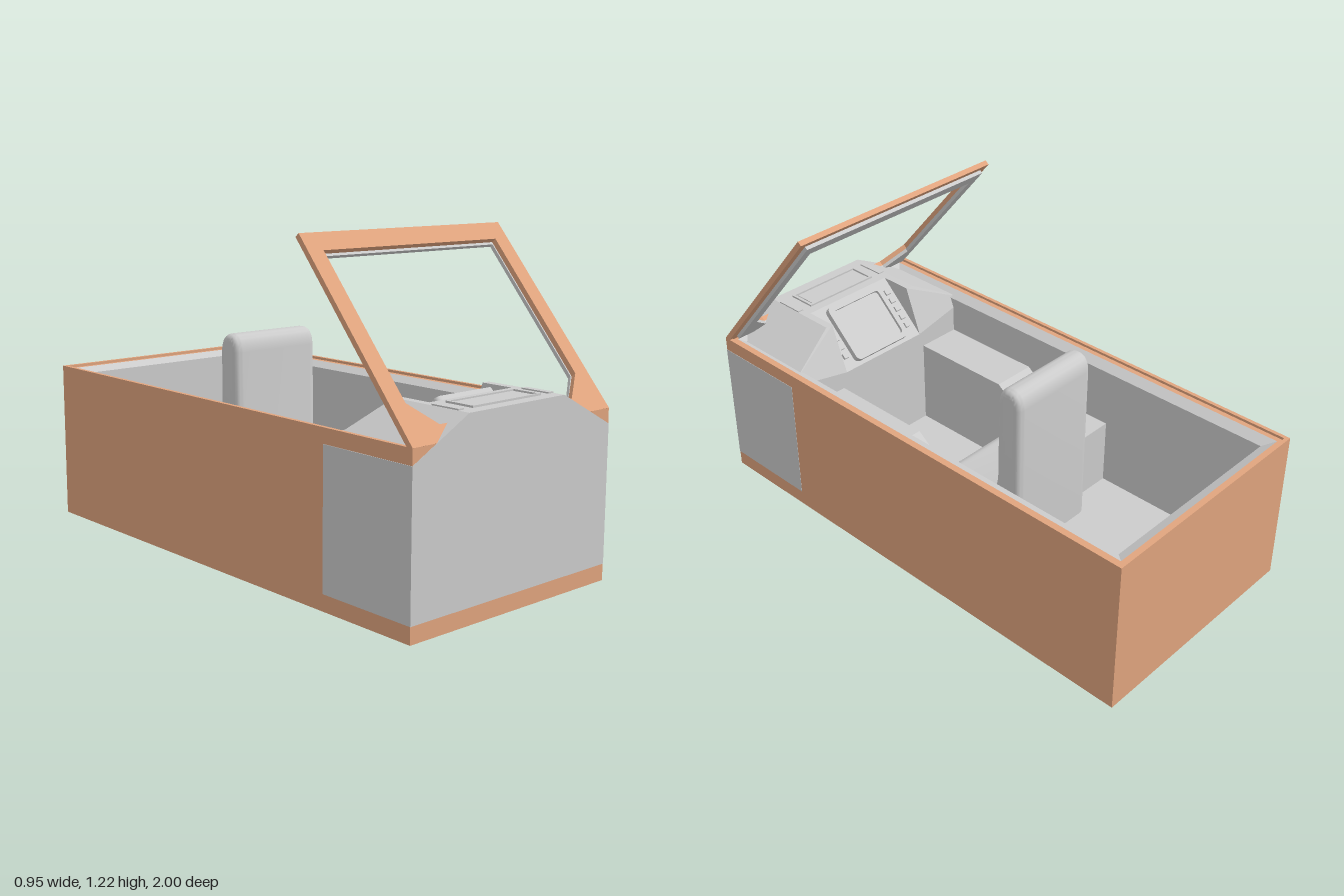
import * as THREE from 'three';
import { toCreasedNormals } from 'three/addons/utils/BufferGeometryUtils.js';
import { ConvexGeometry } from 'three/addons/geometries/ConvexGeometry.js';

const grey = new THREE.MeshStandardMaterial({ color: 0xcccccc });
const greyDouble = new THREE.MeshStandardMaterial({ color: 0xcccccc, side: THREE.DoubleSide, flatShading: true });
const orange = new THREE.MeshStandardMaterial({ color: 0xe0a47e });

const poly = (pts) => new THREE.Shape(pts.map(([x, y]) => new THREE.Vector2(x, y)));
const rect = (hx, hy) => poly([[-hx, -hy], [hx, -hy], [hx, hy], [-hx, hy]]);

function add(parent, name, geometry, material = grey, x = 0, y = 0, z = 0) {
  const mesh = new THREE.Mesh(geometry, material);
  mesh.name = name;
  mesh.position.set(x, y, z);
  parent.add(mesh);
  return mesh;
}

const extrude = (shape, depth) => new THREE.ExtrudeGeometry(shape, { depth, bevelEnabled: false });

// Extrudes a (z, y) profile between two x positions
function extrudeX(shape, x0, x1, options = { bevelEnabled: false }) {
  const g = new THREE.ExtrudeGeometry(shape, { depth: x1 - x0, ...options });
  return g.rotateY(-Math.PI / 2).translate(x1, 0, 0);
}

// Flat rectangular ring, standing on y0
function ring(outer, inner, y0, y1) {
  const s = rect(...outer);
  s.holes.push(rect(...inner));
  return extrude(s, y1 - y0).rotateX(-Math.PI / 2).translate(0, y0, 0);
}

function roundedRect(hx, hy, r) {
  const s = new THREE.Shape();
  s.moveTo(-hx + r, -hy);
  s.lineTo(hx - r, -hy).quadraticCurveTo(hx, -hy, hx, -hy + r);
  s.lineTo(hx, hy - r).quadraticCurveTo(hx, hy, hx - r, hy);
  s.lineTo(-hx + r, hy).quadraticCurveTo(-hx, hy, -hx, hy - r);
  s.lineTo(-hx, -hy + r).quadraticCurveTo(-hx, -hy, -hx + r, -hy);
  return s;
}

// Bevelled inner skin made from stacked rectangles
function linerGeometry() {
  const levels = [[0.44, 0.97, 0.605], [0.4, 0.93, 0.585], [0.4, 0.93, 0.08]];
  const pos = [], idx = [];
  for (const [x, z, y] of levels) pos.push(-x, y, -z, x, y, -z, x, y, z, -x, y, z);
  for (let l = 0; l < 2; l++) {
    for (let i = 0; i < 4; i++) {
      const a = l * 4 + i, b = l * 4 + (i + 1) % 4;
      idx.push(a, a + 4, b, b, a + 4, b + 4);
    }
  }
  const g = new THREE.BufferGeometry();
  g.setAttribute('position', new THREE.Float32BufferAttribute(pos, 3));
  g.setIndex(idx);
  g.computeVertexNormals();
  return g;
}

// Window frame with angled lower corners
function frameShape(x, s0, s1, hx, top) {
  const s = poly([[-x, s0], [x, s0], [x, s1], [-x, s1]]);
  s.holes.push(poly([[-0.32, 0.06], [-hx, 0.15], [-hx, top], [hx, top], [hx, 0.15], [0.32, 0.06]]));
  return s;
}

function seatGeometry() {
  const s = new THREE.Shape();
  s.moveTo(-0.315, 0.08);
  s.lineTo(0.12, 0.08);
  s.lineTo(0.12, 0.2);
  s.quadraticCurveTo(0.12, 0.26, 0.06, 0.26);
  s.lineTo(-0.12, 0.28);
  s.quadraticCurveTo(-0.19, 0.29, -0.2, 0.4);
  s.lineTo(-0.205, 0.73);
  s.quadraticCurveTo(-0.21, 0.797, -0.26, 0.797);
  s.quadraticCurveTo(-0.31, 0.797, -0.315, 0.73);
  s.closePath();
  const g = extrudeX(s, -0.165, 0.165, {
    bevelThickness: 0.03, bevelSize: 0.025, bevelOffset: -0.025, bevelSegments: 6, curveSegments: 10,
  });
  return toCreasedNormals(g, 0.8);
}

export function createModel() {
  const model = new THREE.Group();
  model.name = 'openCockpit';

  // Tub
  add(model, 'hullWalls', ring([0.475, 1], [0.46, 0.985], 0, 0.615), orange);
  add(model, 'hullInnerRim', ring([0.46, 0.985], [0.44, 0.97], 0, 0.605), orange);
  add(model, 'hullBottom', new THREE.BoxGeometry(0.93, 0.06, 1.98), orange, 0, 0.031);
  add(model, 'liner', linerGeometry(), greyDouble);
  add(model, 'floor', new THREE.BoxGeometry(0.82, 0.02, 1.88), grey, 0, 0.07);

  // Nose and dashboard core
  add(model, 'noseCentre', extrudeX(poly([[0.6, 0.06], [1.001, 0.06], [1.001, 0.69], [0.8, 0.69], [0.6, 0.5]]), -0.2, 0.2));
  for (const side of [-1, 1]) {
    const corners = [
      [0.2, 0.69, 0.67], [0.23, 0.69, 0.67], [0.2, 0.69, 1.001], [0.23, 0.69, 1.001],
      [0.476, 0.56, 0.6], [0.476, 0.56, 1.001], [0.476, 0.06, 0.6], [0.476, 0.06, 1.001],
      [0.2, 0.06, 0.6], [0.2, 0.06, 1.001], [0.2, 0.5, 0.6],
    ];
    add(model, 'noseFlank', new ConvexGeometry(corners.map(([x, y, z]) => new THREE.Vector3(side * x, y, z))));
    add(model, 'dashSlot', new THREE.BoxGeometry(0.025, 0.012, 0.115), grey, side * 0.217, 0.689, 0.897);

    // Stepped side console
    const x = side * 0.31;
    const profile = poly([[-0.24, 0.08], [0.61, 0.08], [0.61, 0.435], [0.17, 0.435], [0.06, 0.35], [-0.24, 0.35]]);
    add(model, 'sideConsole', extrudeX(profile, x - 0.09, x + 0.09));
  }
  add(model, 'dashPlate', ring([0.165, 0.058], [0.155, 0.05], 0.685, 0.697), grey, 0, 0, 0.897);
  add(model, 'dashPlateCentre', new THREE.BoxGeometry(0.29, 0.01, 0.09), grey, 0, 0.688, 0.897);

  // Tilted instrument panel, facing the seat
  const panel = new THREE.Group();
  panel.name = 'instrumentPanel';
  panel.position.set(0, 0.5, 0.6);
  panel.rotation.x = -0.76;
  model.add(panel);
  const bezel = roundedRect(0.14, 0.122, 0.025);
  bezel.holes.push(roundedRect(0.118, 0.1, 0.015));
  add(panel, 'screenBezel', extrude(bezel, 0.03).rotateX(-Math.PI / 2), grey, 0, -0.005, 0.138);
  add(panel, 'screen', new THREE.BoxGeometry(0.24, 0.015, 0.205), grey, 0, 0.005, 0.138);
  for (const side of [-1, 1]) {
    for (let i = 0; i < 5; i++) {
      add(panel, 'button', new THREE.BoxGeometry(0.025, 0.014, 0.022), grey, side * 0.168, 0.004, 0.06 + i * 0.039);
    }
  }

  // Seat
  add(model, 'seat', seatGeometry());

  // Slanted windscreen frame
  const screen = new THREE.Group();
  screen.name = 'windscreen';
  screen.position.set(0, 0.602, 0.985);
  screen.rotation.x = -Math.atan2(0.52, 0.61);
  model.add(screen);
  add(screen, 'windscreenFrame', extrude(frameShape(0.475, 0, 0.8, 0.41, 0.728), 0.02), orange);
  add(screen, 'windscreenTrim', extrude(frameShape(0.445, 0.03, 0.775, 0.405, 0.718), 0.014), grey, 0, 0, -0.014);

  return model;
}
